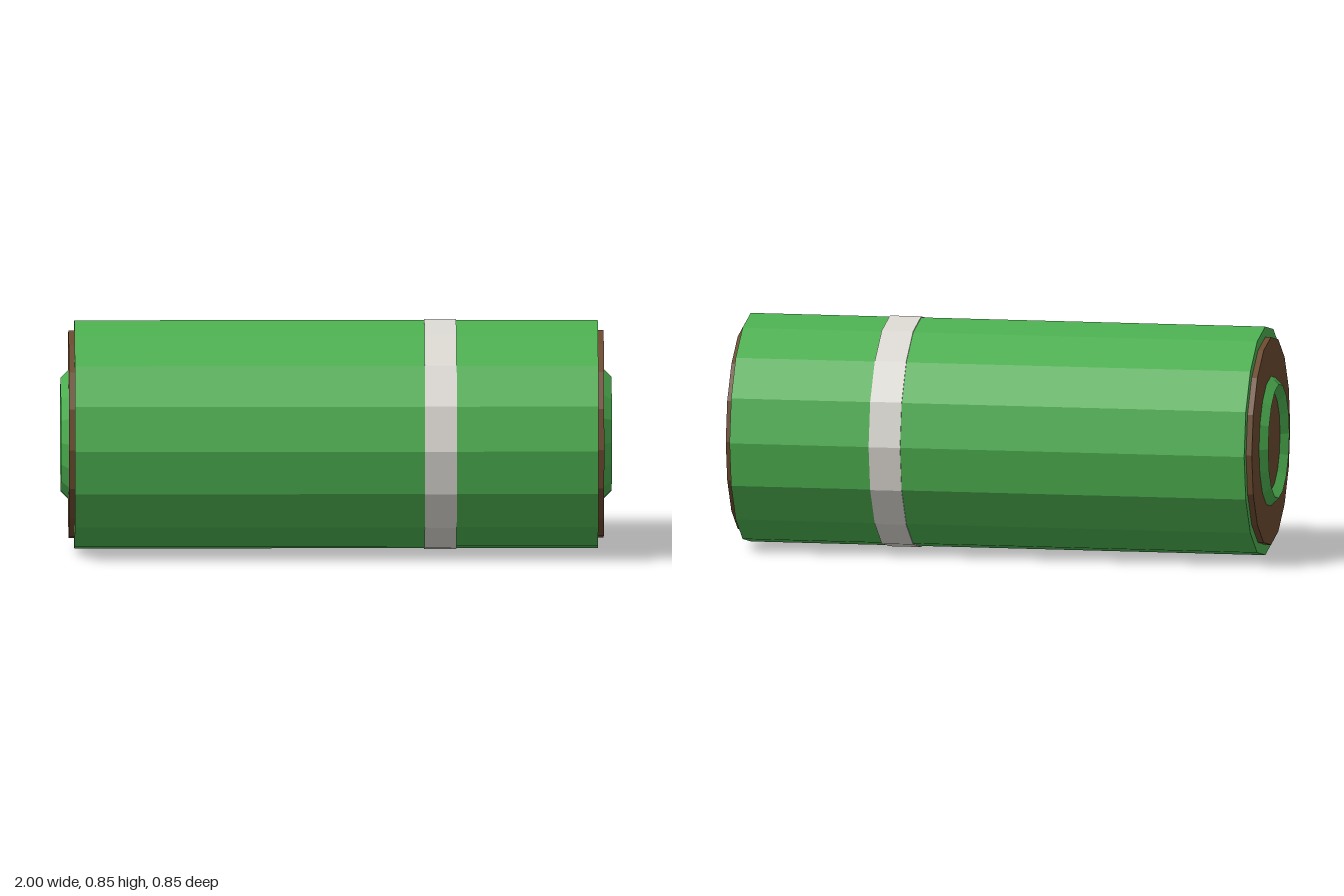
import * as THREE from 'three';

const SIDES = 16;
const CENTER_Y = 0.423;

function material(name, color) {
  const m = new THREE.MeshStandardMaterial({ color, flatShading: true });
  m.name = name;
  return m;
}

// Cylinder lying along x, from x0 to x1
function drum(name, radius, x0, x1, mat, open = false) {
  const geo = new THREE.CylinderGeometry(radius, radius, x1 - x0, SIDES, 1, open);
  geo.rotateZ(-Math.PI / 2);
  const mesh = new THREE.Mesh(geo, mat);
  mesh.name = name;
  mesh.position.x = (x0 + x1) / 2;
  return mesh;
}

export function createModel() {
  const green = material('green', 0x4caf50);
  const brown = material('brown', 0x6b4a2f);
  const white = material('offWhite', 0xdad7d1);

  const model = new THREE.Group();
  model.name = 'roll';
  const roll = new THREE.Group();
  roll.name = 'rollBody';
  roll.position.y = CENTER_Y;
  model.add(roll);

  // Main body and the thin band wrapped round it
  roll.add(drum('body', 0.419, -0.95, 0.95, green));
  roll.add(drum('band', 0.423, 0.32, 0.436, white));

  // Each end: a raised disc with a diamond-section ring
  for (const [side, label] of [[1, 'left'], [-1, 'right']]) {
    const inner = side * 0.93, outer = side * 0.971;
    roll.add(drum(label + 'EndDisc', 0.381, Math.min(inner, outer), Math.max(inner, outer), brown));

    const ring = new THREE.Mesh(new THREE.TorusGeometry(0.209, 0.029, 4, SIDES), green);
    ring.name = label + 'EndRing';
    ring.rotation.y = side * Math.PI / 2;
    ring.position.x = side * 0.971;
    roll.add(ring);
  }
  return model;
}
